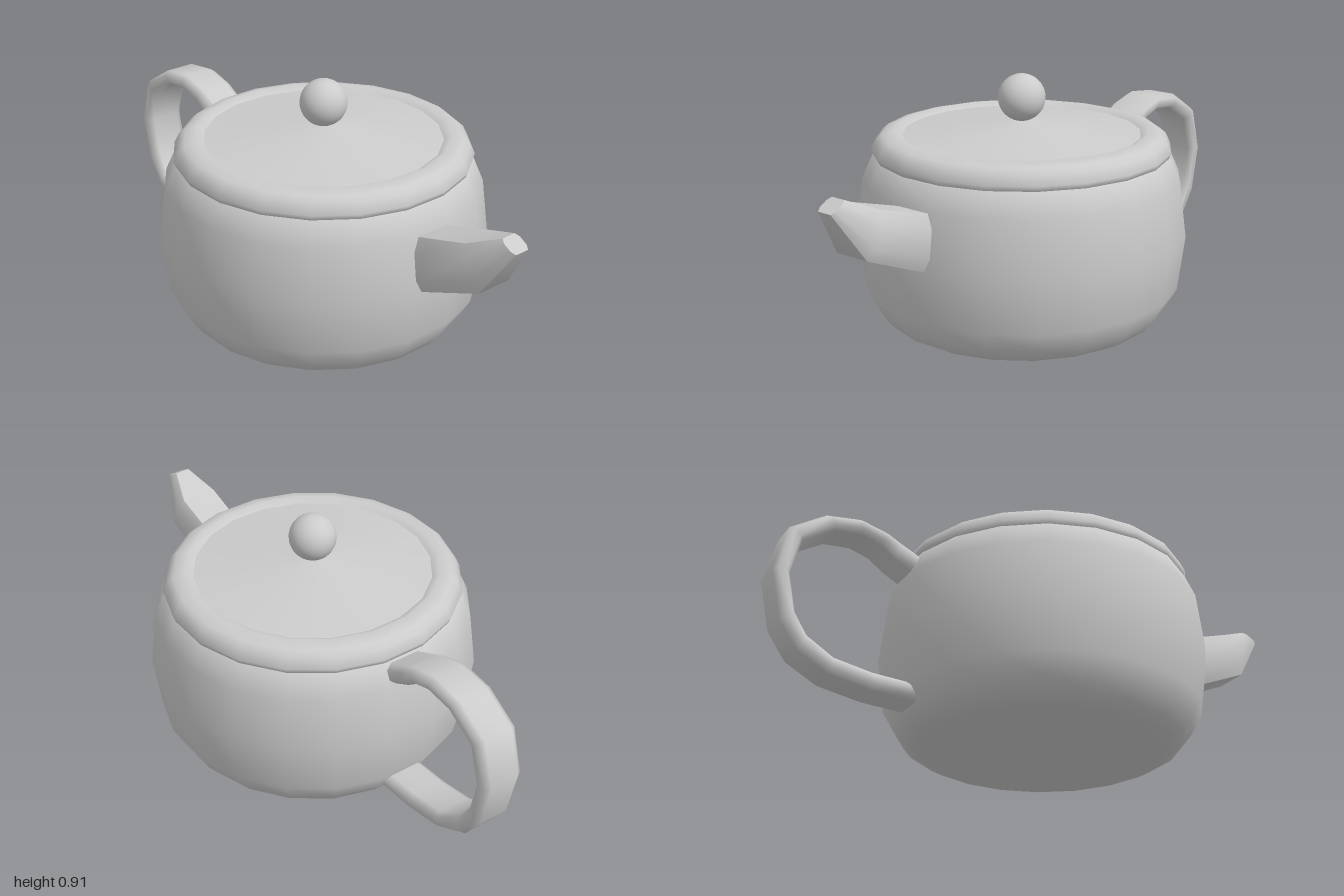
import * as THREE from 'three';
import { toCreasedNormals } from 'three/addons/utils/BufferGeometryUtils.js';

const material = new THREE.MeshStandardMaterial({ color: 0xcccccc });
const SIDES = 20;

function addPart(parent, name, geometry) {
  const mesh = new THREE.Mesh(geometry, material);
  mesh.name = name;
  parent.add(mesh);
  return mesh;
}

function lathe(points) {
  return new THREE.LatheGeometry(points.map(([r, y]) => new THREE.Vector2(r, y)), SIDES);
}

// Sweeps a chamfered rectangle through stations [topZ, topY, bottomZ, bottomY, halfWidth].
function loft(stations, flat, crease) {
  const section = [[1, flat], [0.5, 1], [-0.5, 1], [-1, flat], [-1, -flat], [-0.5, -1], [0.5, -1], [1, -flat]];
  const n = section.length;
  const positions = [];
  const index = [];
  const addRing = ([tz, ty, bz, by, w]) => {
    for (const [u, v] of section) {
      const t = (u + 1) / 2;
      positions.push(v * w, by + (ty - by) * t, bz + (tz - bz) * t);
    }
  };
  stations.forEach(addRing);
  for (let j = 0; j < stations.length - 1; j++) {
    for (let i = 0; i < n; i++) {
      const a = j * n + i, b = j * n + (i + 1) % n;
      index.push(a, b, a + n, b, b + n, a + n);
    }
  }
  // End caps with their own vertices
  const start = stations.length * n, end = start + n;
  addRing(stations[0]);
  addRing(stations[stations.length - 1]);
  for (let i = 1; i < n - 1; i++) {
    index.push(start, start + i + 1, start + i, end, end + i, end + i + 1);
  }
  const geometry = new THREE.BufferGeometry();
  geometry.setAttribute('position', new THREE.Float32BufferAttribute(positions, 3));
  geometry.setIndex(index);
  geometry.computeVertexNormals();
  return crease ? toCreasedNormals(geometry, crease) : geometry;
}

export function createModel() {
  const teapot = new THREE.Group();
  teapot.name = 'teapot';
  teapot.position.z = 0.05;

  // Rounded pot
  addPart(teapot, 'body', lathe([
    [0, 0.004], [0.41, 0.004], [0.455, 0.012], [0.5, 0.037], [0.53, 0.075],
    [0.572, 0.15], [0.598, 0.35], [0.573, 0.55], [0.535, 0.635], [0.48, 0.66],
  ]));

  // Rolled rim around a slightly sunken conical lid
  addPart(teapot, 'lidRim', lathe([
    [0.49, 0.63], [0.53, 0.632], [0.539, 0.655], [0.522, 0.69], [0.5, 0.708], [0.455, 0.72], [0.425, 0.702],
  ]));
  addPart(teapot, 'lid', lathe([[0.43, 0.704], [0.28, 0.72], [0.04, 0.75], [0, 0.752]]));

  addPart(teapot, 'knob', new THREE.SphereGeometry(0.085, 32, 24)).position.y = 0.832;

  // Spout and handle share a plane turned slightly about the vertical axis
  const fittings = new THREE.Group();
  fittings.name = 'fittings';
  fittings.rotation.y = -0.157;
  teapot.add(fittings);

  addPart(fittings, 'spout', loft([
    [0.46, 0.515, 0.46, 0.29, -0.09],
    [0.6, 0.558, 0.6, 0.352, -0.09],
    [0.78, 0.612, 0.85, 0.457, -0.092],
    [0.9, 0.665, 0.96, 0.63, -0.037],
  ], 0.75, 0.75));

  // Looped handle: outer edge, inner edge
  const loop = [
    [-0.5, 0.615, -0.53, 0.545], [-0.6, 0.662, -0.625, 0.597], [-0.655, 0.69, -0.675, 0.635],
    [-0.757, 0.716, -0.75, 0.659], [-0.882, 0.7, -0.85, 0.65], [-1.012, 0.62, -0.962, 0.582],
    [-1.06, 0.45, -1.0, 0.45], [-1.022, 0.27, -0.972, 0.31], [-0.955, 0.175, -0.925, 0.235],
    [-0.84, 0.113, -0.825, 0.175], [-0.68, 0.085, -0.685, 0.15], [-0.5, 0.075, -0.505, 0.14],
  ];
  addPart(fittings, 'handle', loft(loop.map((s) => [...s, 0.078]), 0.72, 0));

  const root = new THREE.Group();
  root.name = 'model';
  root.add(teapot);
  return root;
}
